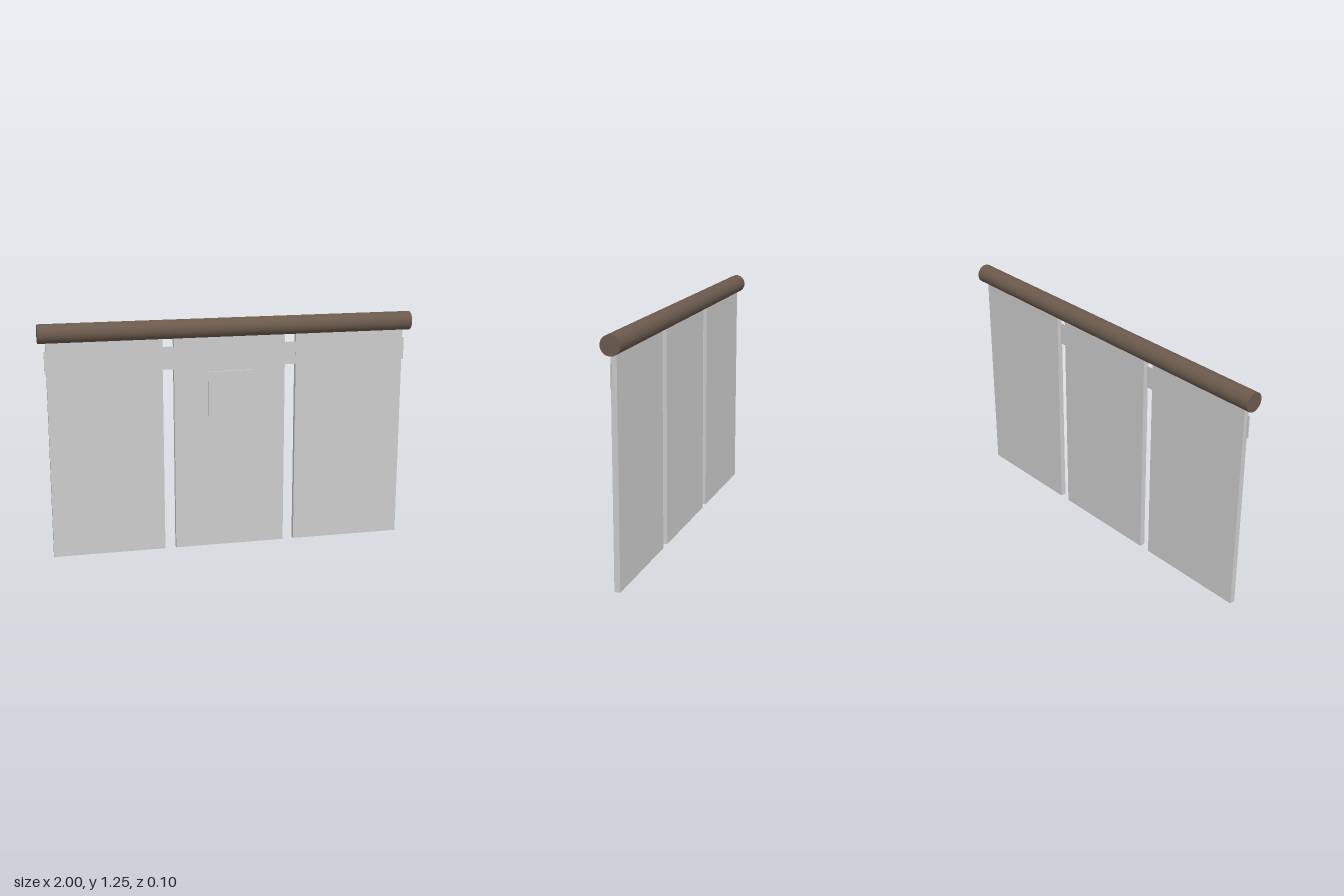
import * as THREE from 'three';

const grey = new THREE.MeshStandardMaterial({ color: 0xcccccc });
const brown = new THREE.MeshStandardMaterial({ color: 0x6b5a4c });

function box(name, w, h, d, x, y, z) {
  const mesh = new THREE.Mesh(new THREE.BoxGeometry(w, h, d), grey);
  mesh.name = name;
  mesh.position.set(x, y, z);
  return mesh;
}

export function createModel() {
  const group = new THREE.Group();
  group.name = 'hangingPanels';

  // Round rail along the top
  const rail = new THREE.Mesh(new THREE.CylinderGeometry(0.05, 0.05, 2, 48), brown);
  rail.name = 'rail';
  rail.rotation.z = Math.PI / 2;
  rail.position.y = 1.2;
  group.add(rail);

  // Three hanging panels, their top edges tucked into the rail
  ['rightPanel', 'middlePanel', 'leftPanel'].forEach((name, i) => {
    group.add(box(name, 0.6, 1.18, 0.03, (i - 1) * 0.66, 0.59, 0));
  });

  // Thin strip joining the panels, set just behind their front faces
  group.add(box('joiningStrip', 1.94, 0.12, 0.006, 0, 1.05, 0.011));

  // Square plate on the middle panel
  group.add(box('frontPlate', 0.24, 0.24, 0.01, 0, 0.85, 0.02));

  return group;
}
